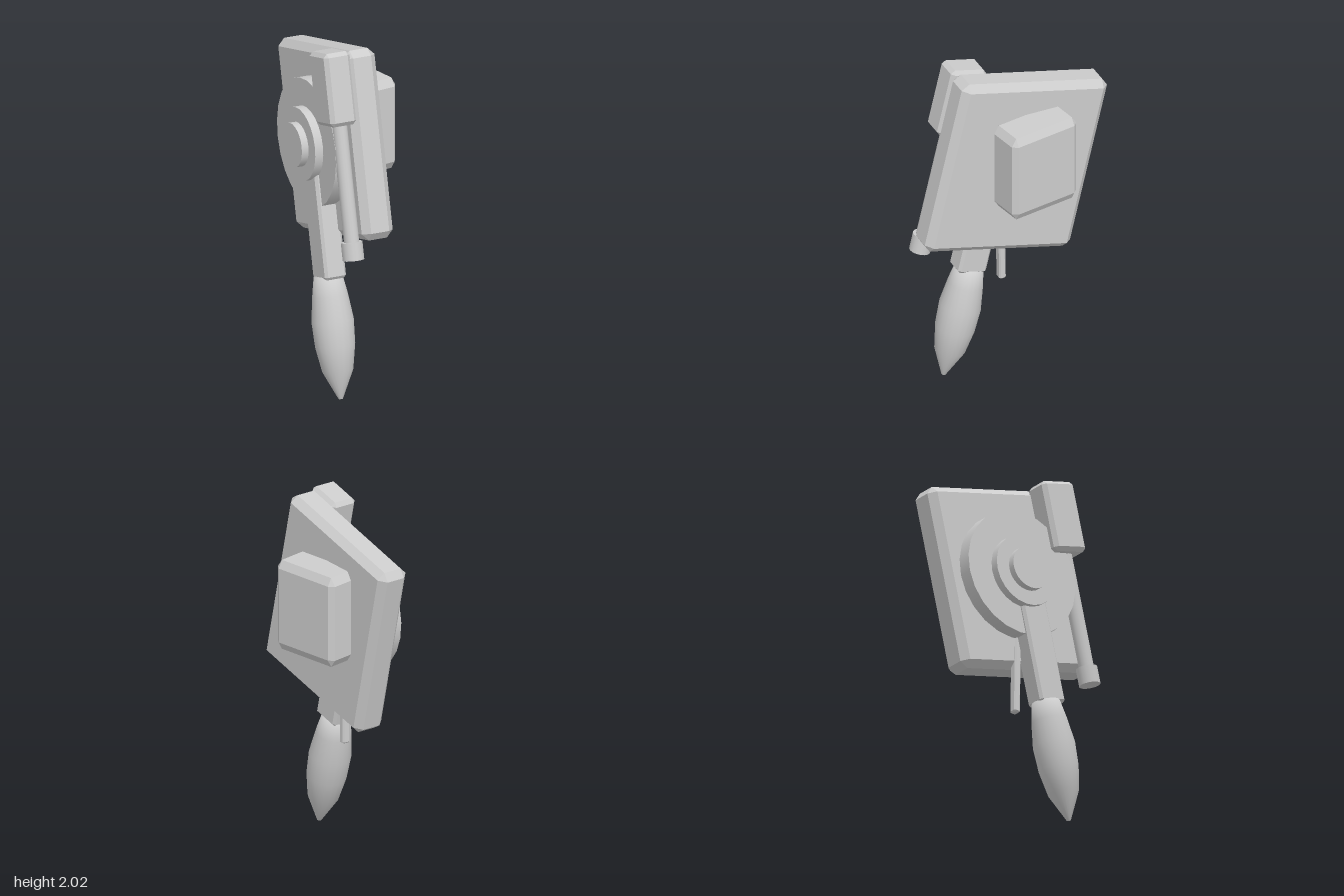
import * as THREE from 'three';
import { ConvexGeometry } from 'three/addons/geometries/ConvexGeometry.js';

const grey = new THREE.MeshStandardMaterial({ color: 0xcccccc });
grey.name = 'light grey';

function add(parent, name, geometry, x, y, z) {
  const mesh = new THREE.Mesh(geometry, grey);
  mesh.name = name;
  mesh.position.set(x, y, z);
  parent.add(mesh);
  return mesh;
}

// Box with chamfered edges; (cx, cy, cz) is how far each face is inset
function chamferBox(w, h, d, cx, cy = cx, cz = cx) {
  const a = w / 2, b = h / 2, c = d / 2, points = [];
  for (const i of [-1, 1]) for (const j of [-1, 1]) for (const k of [-1, 1]) {
    points.push(
      new THREE.Vector3(i * a, j * (b - cy), k * (c - cz)),
      new THREE.Vector3(i * (a - cx), j * b, k * (c - cz)),
      new THREE.Vector3(i * (a - cx), j * (b - cy), k * c));
  }
  return new ConvexGeometry(points);
}

export function createModel() {
  const model = new THREE.Group();

  // Leaning assembly: plate frame with x = thickness, y = height, z = length
  const body = new THREE.Group();
  body.name = 'leaningBody';
  body.position.set(0, 1.395, 0);
  body.rotation.set(-0.232, -0.174, 0, 'YXZ');
  model.add(body);

  add(body, 'mainPlate', chamferBox(0.19, 1.06, 0.91, 0.04), 0, 0, 0);

  // Stepped discs: radius and distance of the outer face
  const discs = [['largeDisc', 0.365, 0.178], ['middleDisc', 0.208, 0.227], ['smallDisc', 0.125, 0.268]];
  for (const [name, radius, reach] of discs) {
    const geometry = new THREE.CylinderGeometry(radius, radius, reach, 24);
    geometry.rotateZ(Math.PI / 2);
    add(body, name, geometry, -reach / 2, 0, 0);
  }

  // Side box with the rod hanging below it
  add(body, 'upperBox', chamferBox(0.16, 0.41, 0.22, 0.022), -0.146, 0.332, 0.349);
  add(body, 'rod', new THREE.CylinderGeometry(0.042, 0.042, 0.85, 16), -0.135, -0.175, 0.36);
  add(body, 'rodCap', new THREE.CylinderGeometry(0.06, 0.06, 0.1, 16), -0.135, -0.58, 0.36);

  // Arm and its slanted strut
  add(body, 'arm', chamferBox(0.13, 0.62, 0.175, 0.015), -0.135, -0.45, 0.03);
  const strut = add(body, 'strut', chamferBox(0.05, 0.5, 0.04, 0.008), -0.08, -0.55, -0.1);
  strut.rotation.x = 0.25;

  // Pointed pod at the foot
  const profile = [[0, 0], [0.012, 0], [0.087, 0.16], [0.112, 0.3], [0.118, 0.44], [0.1, 0.58], [0.08, 0.69], [0, 0.69]];
  add(body, 'pointedPod',
    new THREE.LatheGeometry(profile.map(([r, y]) => new THREE.Vector2(r, y)), 20), -0.14, -1.436, 0.018);

  // Upright pack on the left face
  add(model, 'sidePack', chamferBox(0.215, 0.53, 0.435, 0.025, 0.045, 0.03), 0.183, 1.472, -0.03);

  return model;
}
